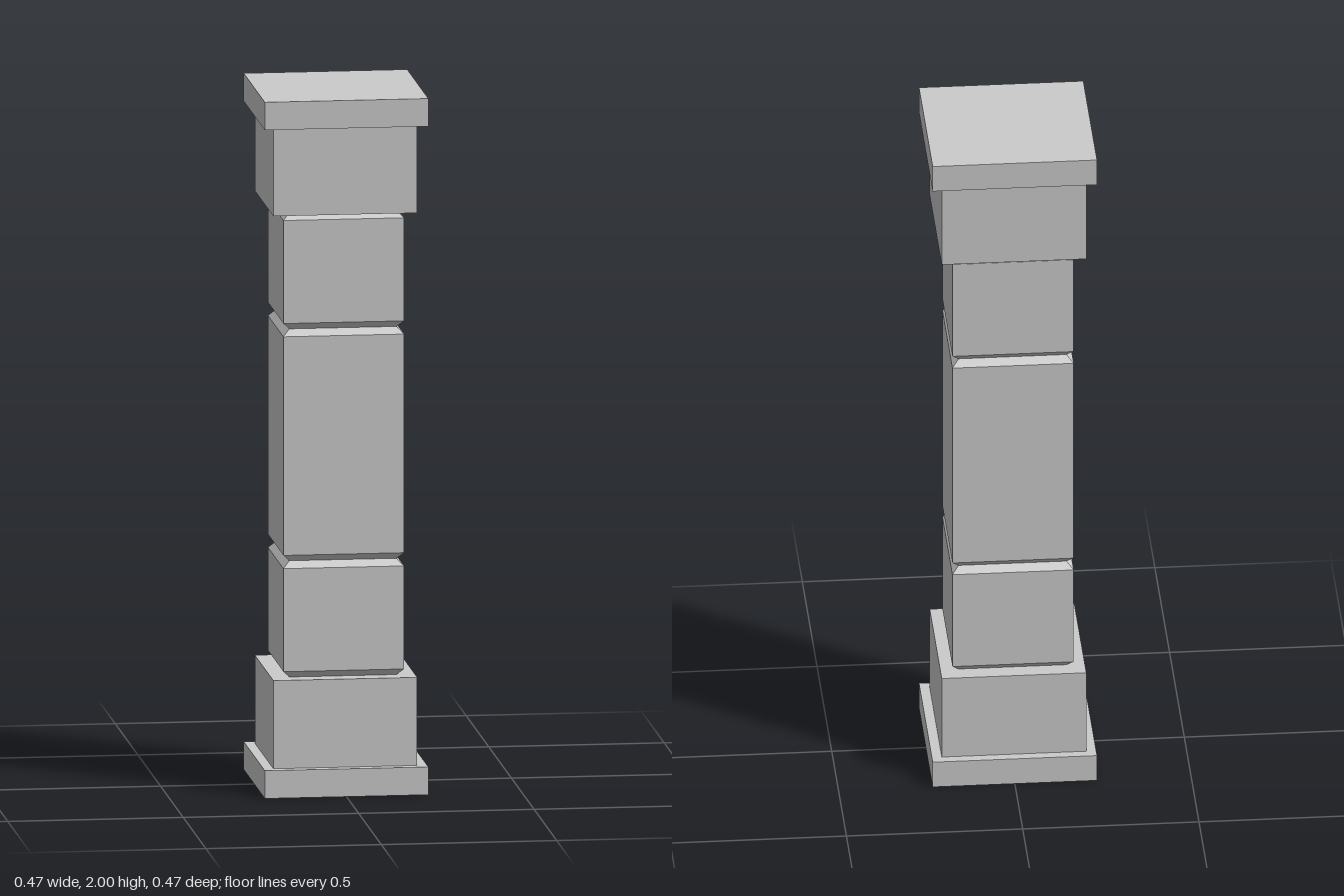
import * as THREE from 'three';

export function createModel() {
  const group = new THREE.Group();
  group.name = 'squarePillar';
  const material = new THREE.MeshStandardMaterial({ color: 0xcccccc, flatShading: true });

  // Plain square slab between two heights
  function slab(name, half, y0, y1) {
    const mesh = new THREE.Mesh(new THREE.BoxGeometry(2 * half, y1 - y0, 2 * half), material);
    mesh.position.y = (y0 + y1) / 2;
    mesh.name = name;
    group.add(mesh);
  }

  // Square block with bevelled top and bottom edges: a four-sided lathe
  function bevelledBlock(name, half, bevel, y0, y1) {
    const r = half * Math.SQRT2, inner = (half - bevel) * Math.SQRT2;
    const profile = [
      [0, y0], [inner, y0], [r, y0 + bevel], [r, y1 - bevel], [inner, y1], [0, y1],
    ].map(([x, y]) => new THREE.Vector2(x, y));
    const mesh = new THREE.Mesh(new THREE.LatheGeometry(profile, 4, Math.PI / 4), material);
    mesh.name = name;
    group.add(mesh);
  }

  // Base and its mirrored capital
  slab('basePlinth', 0.233, 0, 0.08);
  slab('baseBlock', 0.205, 0.08, 0.333);
  slab('capitalBlock', 0.205, 1.667, 1.92);
  slab('capitalSlab', 0.233, 1.92, 2);

  // Shaft of three blocks, their bevels forming the grooves
  bevelledBlock('lowerShaft', 0.172, 0.019, 0.333, 0.667);
  bevelledBlock('middleShaft', 0.172, 0.019, 0.667, 1.333);
  bevelledBlock('upperShaft', 0.172, 0.019, 1.333, 1.667);

  return group;
}
